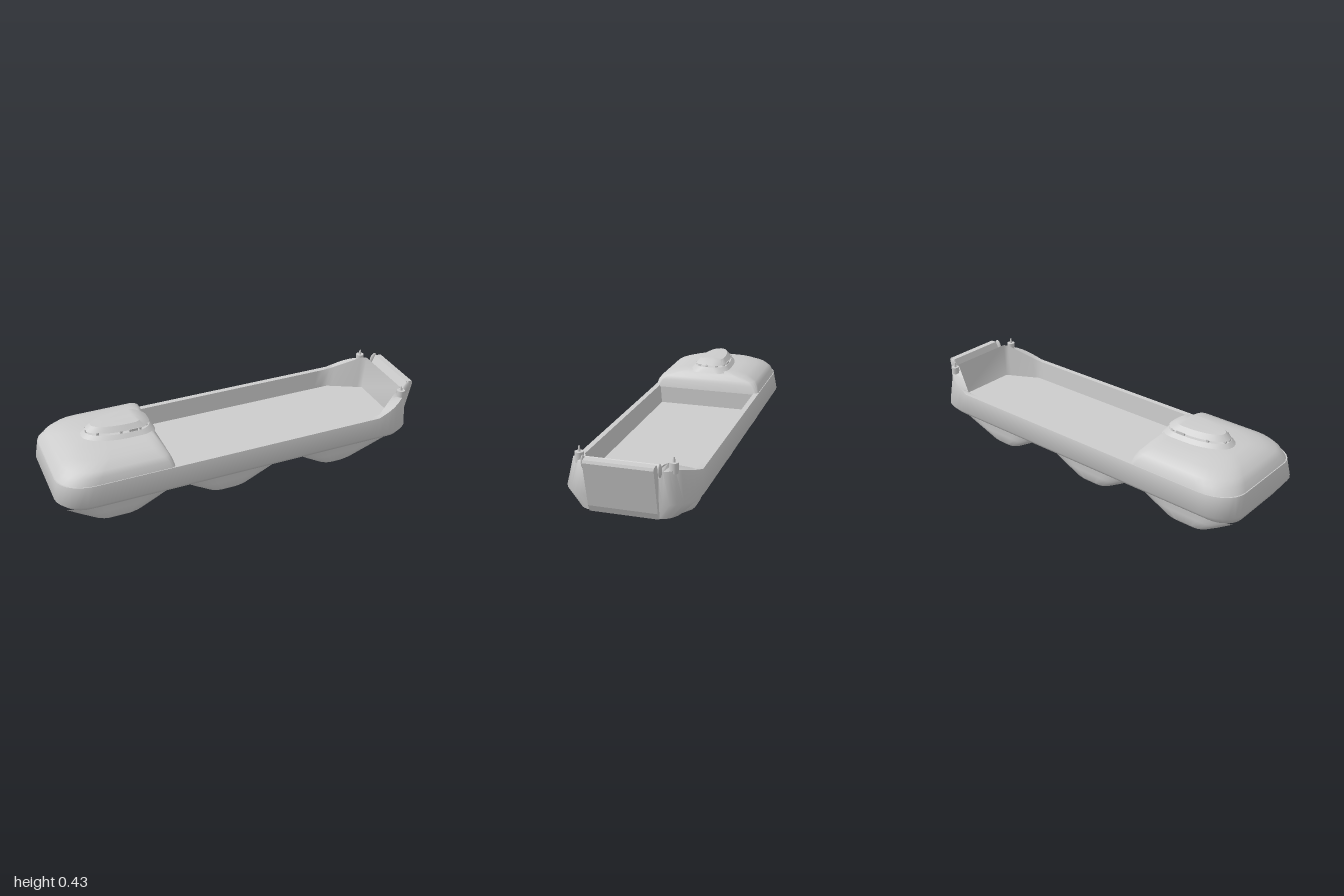
import * as THREE from 'three';
import { toCreasedNormals } from 'three/addons/utils/BufferGeometryUtils.js';

const material = new THREE.MeshStandardMaterial({ color: 0xcccccc });
const ARC = 7, SIDE = 28;

// Closed plan outline: straight sides, with its own corner size at stern and bow.
// y is a height or a function of x; lean draws the raised part of the edge inward.
function outline({ x0, x1, w, stern = [0, 0], bow = [0, 0], y, chamfer = false, lean = 0 }) {
  const half = [];
  const a0 = x0 + stern[0], a1 = x1 - bow[0];
  for (let i = 0; i <= ARC; i++) {
    const a = (i / ARC) * Math.PI / 2;
    half.push([a0 - stern[0] * Math.cos(a), w - stern[1] * (1 - Math.sin(a))]);
  }
  for (let i = 1; i < SIDE; i++) half.push([a0 + (a1 - a0) * i / SIDE, w]);
  for (let i = 0; i <= ARC; i++) {
    const t = i / ARC, a = t * Math.PI / 2;
    const u = chamfer ? t : Math.sin(a), v = chamfer ? t : 1 - Math.cos(a);
    half.push([a1 + bow[0] * u, w - bow[1] * v]);
  }
  const full = half.concat(half.slice().reverse().map(([x, z]) => [x, -z]));
  return full.map(([x, z]) => {
    const h = typeof y === 'function' ? y(x) : y;
    return [x, h, z * (1 - lean * (h - 0.27))];
  });
}

// Skin joining a list of outlines in order
function loft(rows, crease = 0.6) {
  const rings = rows.map(outline), n = rings[0].length, index = [];
  for (let r = 0; r < rings.length - 1; r++) {
    for (let i = 0; i < n; i++) {
      const a = r * n + i, b = r * n + (i + 1) % n;
      index.push(a, b, b + n, a, b + n, a + n);
    }
  }
  const g = new THREE.BufferGeometry();
  g.setAttribute('position', new THREE.Float32BufferAttribute(rings.flat(2), 3));
  g.setIndex(index);
  return toCreasedNormals(g, crease);
}

export function createModel() {
  const model = new THREE.Group();
  const add = (name, geometry, x = 0, y = 0, z = 0) => {
    const mesh = new THREE.Mesh(geometry, material);
    mesh.name = name;
    mesh.position.set(x, y, z);
    model.add(mesh);
    return mesh;
  };

  // Hull with raised bow bulwark and sunken cargo deck
  const rail = rise => x => 0.27 + rise * THREE.MathUtils.clamp((x - 0.73) / 0.16, 0, 1);
  const well = { x0: -0.42, bow: [0.18, 0.095], chamfer: true };
  const deckY = 0.165;
  add('hull', loft([
    { x0: -0.8, x1: 0.8, w: 0, y: 0.097 },
    { x0: -0.955, x1: 0.925, w: 0.24, stern: [0.12, 0.1], bow: [0.1, 0.08], y: 0.097 },
    { x0: -1, x1: 0.935, w: 0.32, stern: [0.17, 0.13], bow: [0.16, 0.14], y: 0.17 },
    { x0: -0.985, x1: 0.94, w: 0.303, stern: [0.17, 0.13], bow: [0.16, 0.13], y: rail(0.055), lean: 1.7 },
    { ...well, x1: 0.915, w: 0.275, y: rail(0.08) },
    { ...well, x1: 0.895, w: 0.267, y: deckY },
    { x0: -0.42, x1: 0.7, w: 0, y: deckY },
  ], 1.1));

  // Rounded stern deckhouse
  add('deckhouse', loft([
    { x0: -0.985, x1: -0.41, w: 0.302, stern: [0.17, 0.13], bow: [0.02, 0.02], y: 0.262 },
    { x0: -0.962, x1: -0.42, w: 0.289, stern: [0.17, 0.14], bow: [0.03, 0.03], y: 0.303 },
    { x0: -0.94, x1: -0.43, w: 0.27, stern: [0.17, 0.14], bow: [0.04, 0.04], y: 0.325 },
    { x0: -0.895, x1: -0.445, w: 0.215, stern: [0.17, 0.13], bow: [0.05, 0.06], y: 0.349 },
    { x0: -0.84, x1: -0.46, w: 0.15, stern: [0.14, 0.1], bow: [0.05, 0.05], y: 0.366 },
    { x0: -0.7, x1: -0.5, w: 0, y: 0.37 },
  ], 0.9));

  // Teardrop bridge: base, window posts and roof
  const sill = { x0: -0.78, x1: -0.455, w: 0.091, stern: [0.21, 0.088], bow: [0.07, 0.07], y: 0.386 };
  add('bridgeBase', loft([
    { ...sill, x0: -0.81, x1: -0.435, w: 0.118, stern: [0.22, 0.11], y: 0.358 },
    sill,
    { x0: -0.7, x1: -0.5, w: 0, y: 0.386 },
  ]));
  add('bridgeRoof', loft([
    { x0: -0.7, x1: -0.5, w: 0, y: 0.396 },
    { ...sill, w: 0.088, y: 0.396 },
    { x0: -0.75, x1: -0.49, w: 0.066, stern: [0.18, 0.064], bow: [0.06, 0.05], y: 0.421 },
    { x0: -0.68, x1: -0.53, w: 0, y: 0.425 },
  ]));
  const ring = outline({ ...sill, x0: -0.772, x1: -0.465, w: 0.083, stern: [0.2, 0.08] });
  for (let i = 0; i < ring.length; i += 3) {
    add('windowPost', new THREE.BoxGeometry(0.012, 0.016, 0.012), ring[i][0], 0.391, ring[i][2]);
  }

  // Three rows of three keel pods: start, flat start, flat end, end
  const pods = [[-0.96, -0.8, -0.58, -0.37], [-0.37, -0.2, 0, 0.22], [0.27, 0.44, 0.62, 0.91]];
  for (const [a, b, c, d] of pods) {
    for (const z of [-0.195, 0, 0.195]) {
      const level = (t, w, y) => {
        const x0 = b + (a - b) * t, x1 = c + (d - c) * t;
        return { x0, x1, w, y, stern: [0.06 + 0.1 * t, w * 0.9], bow: [0.06 + 0.12 * t, w * 0.9] };
      };
      add('keelPod', loft([
        { x0: b + 0.03, x1: c - 0.03, w: 0, y: 0 },
        level(-0.08, 0.025, 0),
        level(0.04, 0.03, 0.008),
        level(0.5, 0.034, 0.052),
        level(1, 0.041, 0.105),
      ], 1.1), 0, 0, z);
    }
  }

  // Sloping bow ramp
  const side = new THREE.Shape([
    [0.91, 0.097], [0.935, 0.097], [0.95, 0.13], [1, 0.35], [0.995, 0.363], [0.96, 0.365], [0.925, 0.29],
  ].map(p => new THREE.Vector2(...p)));
  add('bowRamp', new THREE.ExtrudeGeometry(side, { depth: 0.326, bevelEnabled: false }), 0, 0, -0.163);

  // Ramp hinges and bollards on both bow corners
  for (const s of [-1, 1]) {
    const hinge = add('rampHinge', new THREE.SphereGeometry(1, 12, 8), 0.955, 0.338, 0.176 * s);
    hinge.scale.set(0.02, 0.035, 0.008);
    hinge.rotation.z = -0.25;
    add('bollard', new THREE.CylinderGeometry(0.021, 0.021, 0.05, 14), 0.893, 0.334, 0.22 * s);
    add('bollardPost', new THREE.CylinderGeometry(0.004, 0.008, 0.03, 8), 0.893, 0.369, 0.22 * s);
  }

  return model;
}
